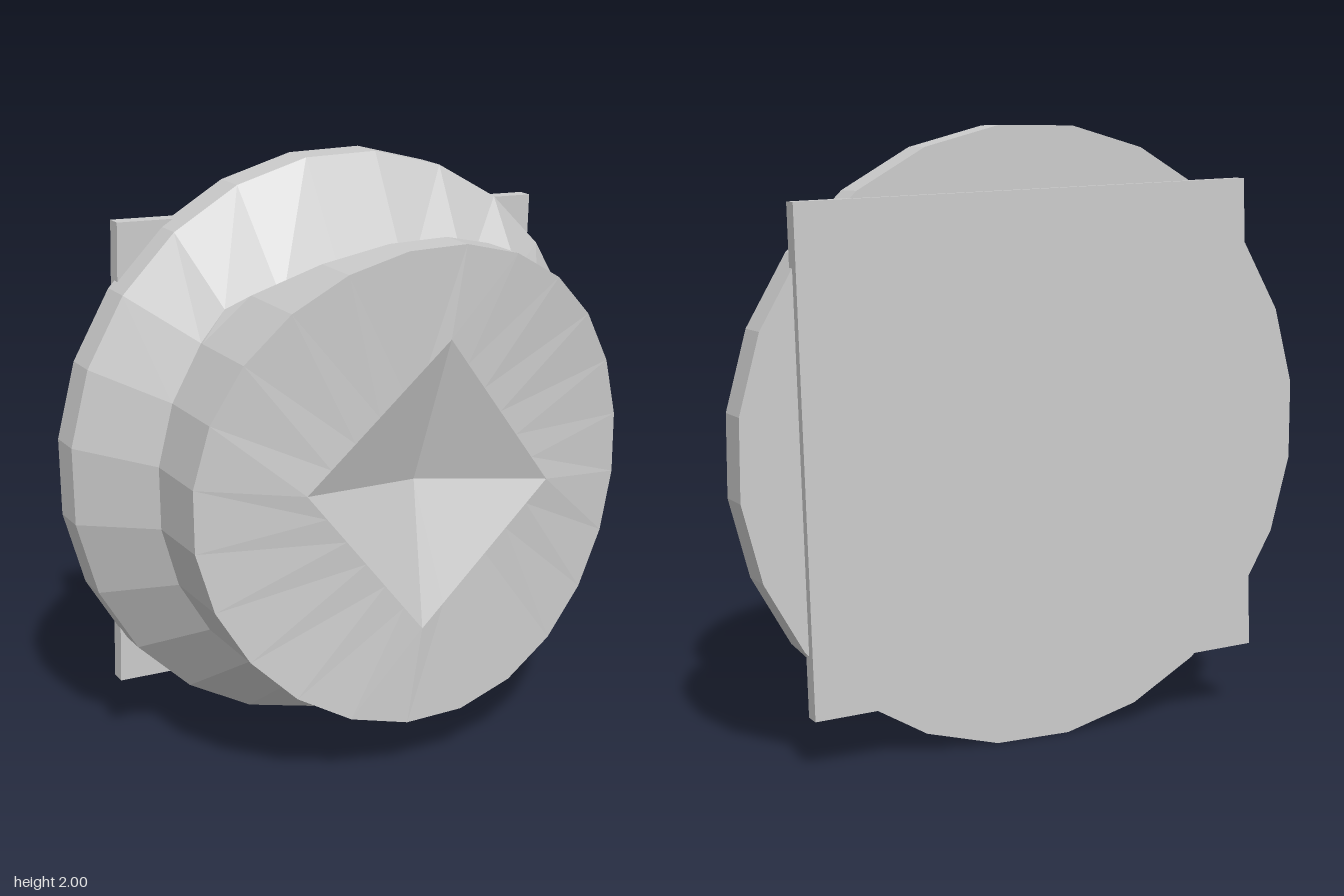
import * as THREE from 'three';

const SIDES = 24;
const material = new THREE.MeshStandardMaterial({ color: 0xcccccc, flatShading: true });

// One closed ring of points; f maps an angle to [x, y, z] about the disc axis
function ring(f) {
  return Array.from({ length: SIDES }, (_, i) =>
    new THREE.Vector3(...f(((i - 0.5) / SIDES) * Math.PI * 2)));
}

// Skin a sequence of rings, ordered from back to front
function loft(name, rings) {
  const points = [];
  for (let k = 0; k < rings.length - 1; k++) {
    const a = rings[k], b = rings[k + 1];
    for (let i = 0; i < SIDES; i++) {
      const j = (i + 1) % SIDES;
      for (const [p, q, r] of [[a[i], a[j], b[j]], [a[i], b[j], b[i]]]) {
        if (p.distanceTo(q) > 1e-6 && q.distanceTo(r) > 1e-6 && r.distanceTo(p) > 1e-6) points.push(p, q, r);
      }
    }
  }
  const geometry = new THREE.BufferGeometry().setFromPoints(points);
  geometry.computeVertexNormals();
  const mesh = new THREE.Mesh(geometry, material);
  mesh.name = name;
  return mesh;
}

const circle = (radius, z) => ring((a) => [radius * Math.cos(a), radius * Math.sin(a), z]);
const centre = (z) => ring(() => [0, 0, z]);

export function createModel() {
  const model = new THREE.Group();
  const body = new THREE.Group();
  body.name = 'body';
  body.position.y = 1;

  const R = 1.008, r = 0.807, notchY = 0.59;
  const faceZ = (x) => 0.385 - 0.2 * x * x;

  // Waist where the two discs meet, cut flat across the top by the notch
  const waist = ring((a) => {
    const x = r * Math.cos(a), y = r * Math.sin(a);
    return y > notchY ? [x * 1.13, notchY, 0] : [x, y, 0];
  });

  // Sloping notch edge on the front disc
  const notchEdge = ring((a) => {
    const y = r * Math.sin(a);
    return [r * Math.cos(a), y, y > notchY ? 0.26 * (y - notchY) / 0.21 : 0.01];
  });

  // Front rim, bowed about the vertical axis
  const rim = ring((a) => [r * Math.cos(a), r * Math.sin(a), faceZ(r * Math.cos(a))]);

  // Four-cornered outline of the dent, with straight sides
  const corners = [[0.46, -0.05], [0.05, 0.5], [-0.45, 0.05], [-0.05, -0.47]]
    .map(([x, y]) => new THREE.Vector3(x, y, faceZ(x)));
  const step = SIDES / 4;
  const dent = Array.from({ length: SIDES }, (_, i) => {
    const c = Math.floor(i / step);
    return corners[c].clone().lerp(corners[(c + 1) % 4], (i % step) / step);
  });

  body.add(
    loft('backDisc', [centre(-0.36), circle(R, -0.36), circle(R, -0.24), waist]),
    loft('frontDisc', [waist, notchEdge, rim]),
    loft('frontFace', [rim, dent]),
    loft('pyramidDent', [dent, centre(0.24)]),
  );
  model.add(body);

  // Slightly skewed square back plate
  const outline = new THREE.Shape(
    [[-0.83, 0.23], [0.78, 0.17], [0.83, 1.77], [-0.77, 1.83]].map(([x, y]) => new THREE.Vector2(x, y)));
  const plate = new THREE.Mesh(
    new THREE.ExtrudeGeometry(outline, { depth: 0.055, bevelEnabled: false }), material);
  plate.name = 'backPlate';
  plate.position.z = -0.39;
  model.add(plate);

  return model;
}
